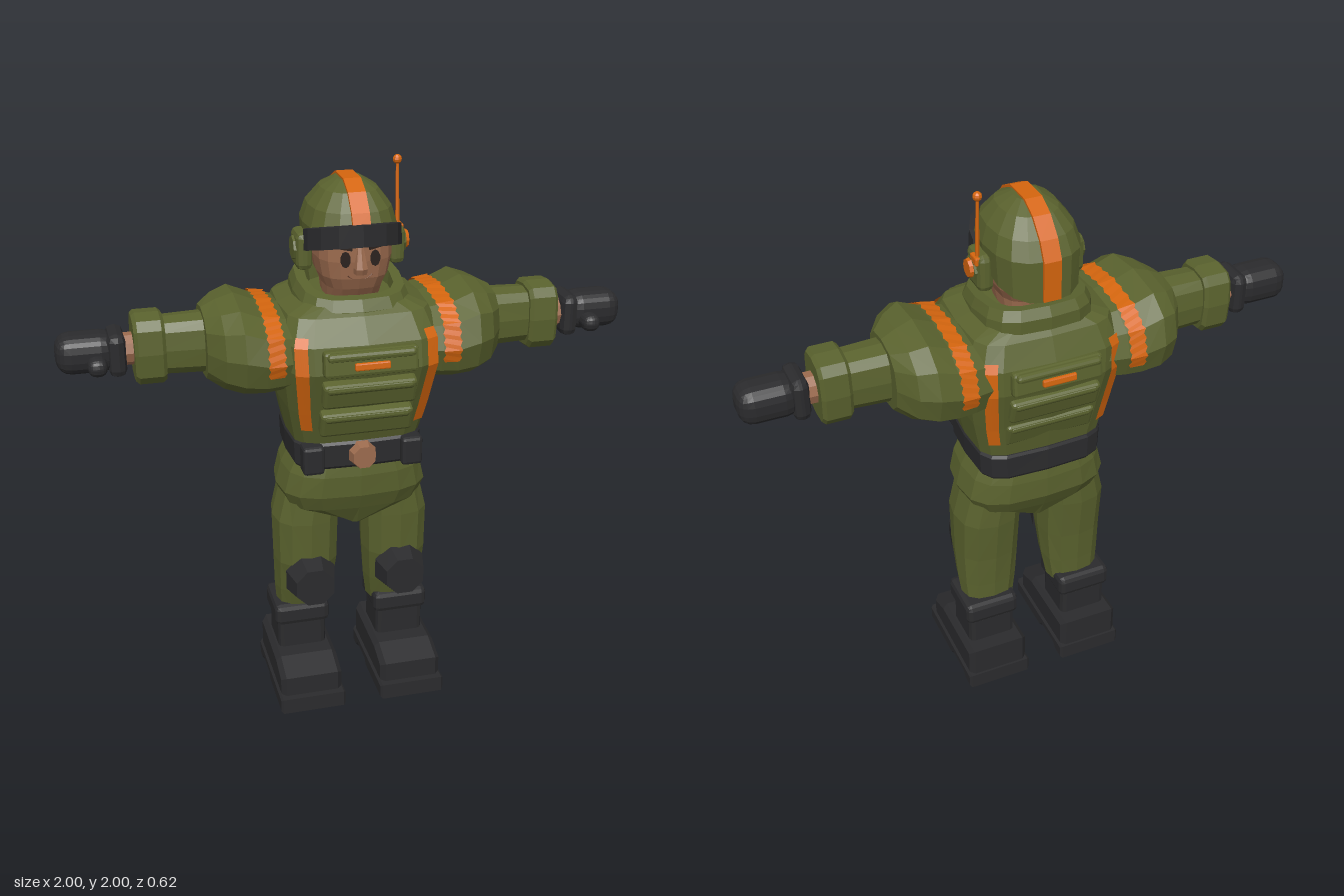
import * as THREE from 'three';
import { RoundedBoxGeometry } from 'three/addons/geometries/RoundedBoxGeometry.js';

const mat = (name, color, side = THREE.FrontSide) => {
  const m = new THREE.MeshStandardMaterial({ color, side });
  m.name = name;
  return m;
};

// Point on a rounded-rectangle ring [t, u0, u1, v0, v1]; j may be fractional, lying on a facet
function ringPoint(r, j, seg, n) {
  const corner = k => {
    const a = k / seg * Math.PI * 2, c = Math.cos(a), s = Math.sin(a);
    const f = w => Math.sign(w) * Math.abs(w) ** (2 / n);
    return [(r[1] + r[2]) / 2 + f(c) * (r[2] - r[1]) / 2, (r[3] + r[4]) / 2 + f(s) * (r[4] - r[3]) / 2];
  };
  const k = Math.floor(j), w = j - k, a = corner(k), b = corner(k + 1);
  return [a[0] + (b[0] - a[0]) * w, a[1] + (b[1] - a[1]) * w];
}

// Skin through rings along the x or y axis; from/to limit it to part of the way round
function loft(rings, { axis = 'y', seg = 16, n = 2.5, from = 0, to = seg, sub = 1, zig = 0, warp = null, caps = true } = {}) {
  const cols = Math.round((to - from) * sub), full = to - from === seg, pos = [];
  const place = (t, u, v) => {
    const p = axis === 'y' ? new THREE.Vector3(v, t, u) : new THREE.Vector3(t, u, v);
    if (warp) warp(p);
    return p;
  };
  const grid = rings.map((r, i) => Array.from({ length: cols + 1 }, (_, c) => {
    const [u, v] = ringPoint(r, from + (to - from) * c / cols, seg, n);
    return place(r[0] + (c % 2 ? zig : -zig) * (i ? 1 : -1), u, v);
  }));
  const tri = (...ps) => ps.forEach(p => pos.push(p.x, p.y, p.z));
  for (let i = 0; i + 1 < rings.length; i++)
    for (let c = 0; c < cols; c++) {
      tri(grid[i][c], grid[i][c + 1], grid[i + 1][c + 1]);
      tri(grid[i][c], grid[i + 1][c + 1], grid[i + 1][c]);
    }
  if (full && caps) [0, rings.length - 1].forEach(i => {
    const r = rings[i], m = place(r[0], (r[1] + r[2]) / 2, (r[3] + r[4]) / 2);
    for (let c = 0; c < cols; c++) i ? tri(m, grid[i][c], grid[i][c + 1]) : tri(m, grid[i][c + 1], grid[i][c]);
  });
  const g = new THREE.BufferGeometry();
  g.setAttribute('position', new THREE.Float32BufferAttribute(pos, 3));
  return g;
}

const Y = (y, front, back, hw) => [y, back, front, -hw, hw];
const grow = (r, o) => [r[0], r[1] - o, r[2] + o, r[3] - o, r[4] + o];
function ringAt(rings, t) {
  const i = Math.max(1, rings.findIndex(r => r[0] >= t)), a = rings[i - 1], b = rings[i];
  return a.map((v, k) => v + (b[k] - v) * (t - a[0]) / (b[0] - a[0]));
}

// Side outline in (z, y), extruded across x and centred
function sideExtrude(points, width, bevel = 0) {
  const shape = new THREE.Shape(points.map(p => new THREE.Vector2(...p)));
  return new THREE.ExtrudeGeometry(shape, {
    depth: width - 2 * bevel, bevelEnabled: bevel > 0, bevelSize: bevel,
    bevelThickness: bevel, bevelOffset: -bevel, bevelSegments: 1,
  }).translate(0, 0, bevel - width / 2).rotateY(-Math.PI / 2);
}
const box = (w, h, d, r = 0.012) => new RoundedBoxGeometry(w, h, d, 1, r);

export function createModel() {
  const model = new THREE.Group();
  model.name = 'soldier';
  const olive = mat('olive cloth', 0x5a622e);
  const black = mat('black rubber', 0x2b2b2d, THREE.DoubleSide);
  const orange = mat('orange trim', 0xd4650e, THREE.DoubleSide);
  const skin = mat('skin', 0x9c6b4e);
  const dark = mat('dark features', 0x2a211d);
  const lip = mat('lip brown', 0x6b4433);

  const add = (name, geo, material, p = [0, 0, 0], r = [0, 0, 0]) => {
    let g = geo.index ? geo.toNonIndexed() : geo.clone();
    g.applyMatrix4(new THREE.Matrix4().makeRotationFromEuler(new THREE.Euler(...r)).setPosition(...p));
    g.clearGroups();
    g.computeVertexNormals();
    const m = new THREE.Mesh(g, material);
    m.name = name;
    model.add(m);
    return m;
  };
  // Adds a left part and its mirror image on the right
  const pair = (name, geo, material, p, r) => {
    const left = add(name + 'Left', geo, material, p, r), g = left.geometry.clone(), a = g.attributes.position;
    for (let i = 0; i < a.count; i += 3) {
      const t = [0, 2, 1].map(k => [-a.getX(i + k), a.getY(i + k), a.getZ(i + k)]);
      t.forEach((v, k) => a.setXYZ(i + k, ...v));
    }
    g.computeVertexNormals();
    const m = new THREE.Mesh(g, material);
    m.name = name + 'Right';
    model.add(m);
  };

  // Jacket
  const torso = [Y(1.04, 0.155, -0.21, 0.225), Y(1.2, 0.21, -0.24, 0.258), Y(1.36, 0.268, -0.28, 0.28),
    Y(1.45, 0.25, -0.275, 0.28), Y(1.53, 0.19, -0.24, 0.25), Y(1.56, 0.15, -0.21, 0.18)];
  add('jacket', loft(torso, { n: 4.5 }), olive);
  add('jacketSkirt', loft([Y(0.715, 0.1, -0.15, 0.03), Y(0.79, 0.135, -0.19, 0.245), Y(0.85, 0.16, -0.22, 0.27),
    Y(0.93, 0.165, -0.22, 0.25), Y(1.0, 0.155, -0.21, 0.215)], { n: 3 }), olive);
  const strap = [1.13, 1.2, 1.28, 1.36, 1.45, 1.48].map(y => grow(ringAt(torso, y), 0.009));
  pair('frontStrap', loft(strap, { n: 4.5, from: 1.25, to: 1.95, sub: 10 }), orange);
  pair('backStrap', loft(strap, { n: 4.5, from: 6.05, to: 6.75, sub: 10 }), orange);

  // Pouches on chest and back
  for (const [s, side] of [[1, 'chest'], [-1, 'back']]) {
    for (const [y, z, h, tilt] of [[1.17, 0.212, 0.095, 0.33], [1.29, 0.255, 0.095, 0.3], [1.405, 0.273, 0.09, -0.1]]) {
      add(side + 'Pouch', box(0.32, h, 0.05), olive, [0, y, s * z], [s * tilt, 0, 0]);
      add(side + 'PouchFlap', box(0.3, 0.03, 0.06), olive, [0, y + 0.028, s * (z + 0.008)], [s * tilt, 0, 0]);
    }
    add(side + 'Tag', box(0.12, 0.026, 0.02, 0.005), orange, [0, 1.398, s * 0.3], [-s * 0.1, 0, 0]);
  }

  // Collar
  add('collar', loft([Y(1.52, 0.18, -0.235, 0.2), Y(1.565, 0.18, -0.235, 0.195), Y(1.6, 0.16, -0.215, 0.18),
    Y(1.6, 0.125, -0.18, 0.145), Y(1.53, 0.12, -0.17, 0.135)],
  { n: 3, caps: false, warp: p => { p.y -= p.z * 0.14; } }), olive);

  // Belt
  add('belt', loft([Y(0.97, 0.165, -0.22, 0.225), Y(0.98, 0.172, -0.225, 0.232), Y(1.06, 0.172, -0.225, 0.235),
    Y(1.07, 0.165, -0.22, 0.228)], { n: 4.5 }), black);
  pair('beltPouch', box(0.075, 0.105, 0.07), black, [0.175, 1.018, 0.16]);
  add('buckle', new THREE.CylinderGeometry(0.042, 0.052, 0.04, 8), skin, [0, 1.02, 0.185], [Math.PI / 2, Math.PI / 8, 0]);

  // Shoulders and arms
  const shoulder = [[0.2, 1.26, 1.52, -0.26, 0.2], [0.27, 1.25, 1.535, -0.275, 0.22], [0.33, 1.245, 1.545, -0.28, 0.228],
    [0.4, 1.25, 1.575, -0.285, 0.23], [0.46, 1.265, 1.555, -0.25, 0.185], [0.51, 1.29, 1.53, -0.17, 0.1]];
  pair('shoulder', loft(shoulder, { axis: 'x', seg: 12 }), olive);
  pair('shoulderStripe', loft([0.272, 0.328].map(x => grow(ringAt(shoulder, x), 0.008)),
    { axis: 'x', seg: 12, from: -3.5, to: 3.5, sub: 6, zig: 0.004 }), orange);
  pair('sleeve', loft([[0.47, 1.31, 1.515, -0.12, 0.055], [0.66, 1.315, 1.51, -0.11, 0.045]], { axis: 'x', seg: 12, n: 3 }), olive);
  pair('cuff', loft([[0.64, 1.3, 1.52, -0.12, 0.055], [0.652, 1.29, 1.53, -0.13, 0.065], [0.732, 1.29, 1.53, -0.13, 0.065],
    [0.744, 1.3, 1.52, -0.12, 0.055]], { axis: 'x', seg: 12, n: 3.5 }), olive);
  pair('wrist', new THREE.CylinderGeometry(0.055, 0.055, 0.08, 10), skin, [0.76, 1.408, -0.03], [0, 0, Math.PI / 2]);
  pair('gloveCuff', box(0.06, 0.15, 0.15, 0.025), black, [0.8, 1.405, -0.028]);
  pair('fist', new RoundedBoxGeometry(0.2, 0.132, 0.14, 2, 0.05), black, [0.9, 1.41, -0.03]);
  pair('thumb', new RoundedBoxGeometry(0.065, 0.062, 0.1, 2, 0.028), black, [0.868, 1.385, 0.042]);

  // Legs, knee pads and boots
  pair('leg', loft([[0.32, -0.13, 0.015, 0.075, 0.27], [0.42, -0.135, 0.05, 0.06, 0.28], [0.55, -0.145, 0.09, 0.05, 0.285],
    [0.72, -0.165, 0.1, 0.045, 0.287], [0.87, -0.17, 0.1, 0.04, 0.25]], { seg: 12 }), olive);
  pair('kneePad', new THREE.CylinderGeometry(0.075, 0.098, 0.085, 8), black, [0.168, 0.495, 0.115], [Math.PI / 2, Math.PI / 8, 0]);
  pair('bootCuff', box(0.205, 0.085, 0.2, 0.02), black, [0.19, 0.312, -0.065]);
  pair('bootShaft', box(0.18, 0.16, 0.175, 0.02), black, [0.19, 0.21, -0.067]);
  pair('bootFoot', sideExtrude([[-0.212, 0.045], [0.18, 0.045], [0.18, 0.135], [0.08, 0.17], [-0.212, 0.175]], 0.23, 0.018), black, [0.19, 0, 0]);
  pair('bootSole', sideExtrude([[-0.22, 0], [-0.165, 0], [-0.145, 0.02], [-0.04, 0.02], [-0.02, 0], [0.205, 0],
    [0.205, 0.06], [-0.22, 0.06]], 0.245, 0.008), black, [0.19, 0, 0]);

  // Head and face
  add('head', loft([Y(1.53, 0.07, -0.11, 0.09), Y(1.6, 0.115, -0.12, 0.1), Y(1.64, 0.132, -0.14, 0.118),
    Y(1.7, 0.14, -0.15, 0.13), Y(1.82, 0.14, -0.16, 0.13)], { n: 3 }), skin);
  add('nose', loft([Y(1.66, 0.16, 0.1, 0.022), Y(1.68, 0.168, 0.1, 0.024), Y(1.75, 0.146, 0.1, 0.011)], { seg: 8, n: 3 }), skin);
  pair('eye', new THREE.CylinderGeometry(0.017, 0.017, 0.008, 10).scale(1, 1, 1.6), dark, [0.05, 1.71, 0.136], [Math.PI / 2, 0, 0]);
  pair('brow', new THREE.BoxGeometry(0.05, 0.01, 0.009), dark, [0.053, 1.749, 0.137], [0, 0.08, 0.2]);
  add('mouth', new THREE.TorusGeometry(0.055, 0.005, 4, 10, 1.7), lip, [0, 1.69, 0.132], [0.15, 0, -Math.PI / 2 - 0.85]);

  // Helmet with stripe and brow band
  const helmet = [Y(1.7, 0.155, -0.235, 0.15), Y(1.8, 0.158, -0.232, 0.156), Y(1.86, 0.135, -0.2, 0.138),
    Y(1.915, 0.085, -0.145, 0.095), Y(1.945, 0.025, -0.085, 0.045)];
  add('helmet', loft(helmet, { warp: p => { if (p.y < 1.71) p.y = 1.73 + p.z * 0.32; } }), olive);
  add('helmetStripe', sideExtrude([[-0.238, 1.66], [-0.239, 1.8], [-0.207, 1.862], [-0.15, 1.92], [-0.086, 1.951],
    [0.026, 1.951], [0.09, 1.92], [0.141, 1.863], [0.163, 1.81]], 0.06), orange);
  add('browBand', loft([Y(1.755, 0.14, -0.22, 0.14), Y(1.752, 0.178, -0.24, 0.172), Y(1.825, 0.176, -0.24, 0.17),
    Y(1.832, 0.13, -0.2, 0.14)], { from: -3.5, to: 3.5, sub: 2, warp: p => { p.y += (p.z - 0.15) * 0.28; } }), black);

  // Ear pads and radio
  pair('earPad', box(0.055, 0.13, 0.115, 0.02), olive, [0.16, 1.71, -0.03]);
  pair('earDisc', new THREE.CylinderGeometry(0.04, 0.046, 0.02, 8), olive, [0.185, 1.715, -0.03], [0, 0, -Math.PI / 2]);
  add('radioDisc', new THREE.CylinderGeometry(0.03, 0.037, 0.025, 10), orange, [0.195, 1.718, -0.03], [0, 0, -Math.PI / 2]);
  add('antennaBase', box(0.025, 0.03, 0.05, 0.005), orange, [0.182, 1.755, -0.05]);
  add('antenna', new THREE.CylinderGeometry(0.005, 0.008, 0.24, 6), orange, [0.18, 1.865, -0.06], [-0.05, 0, 0]);
  add('antennaTip', new THREE.SphereGeometry(0.016, 8, 6), orange, [0.18, 1.982, -0.066]);

  return model;
}
